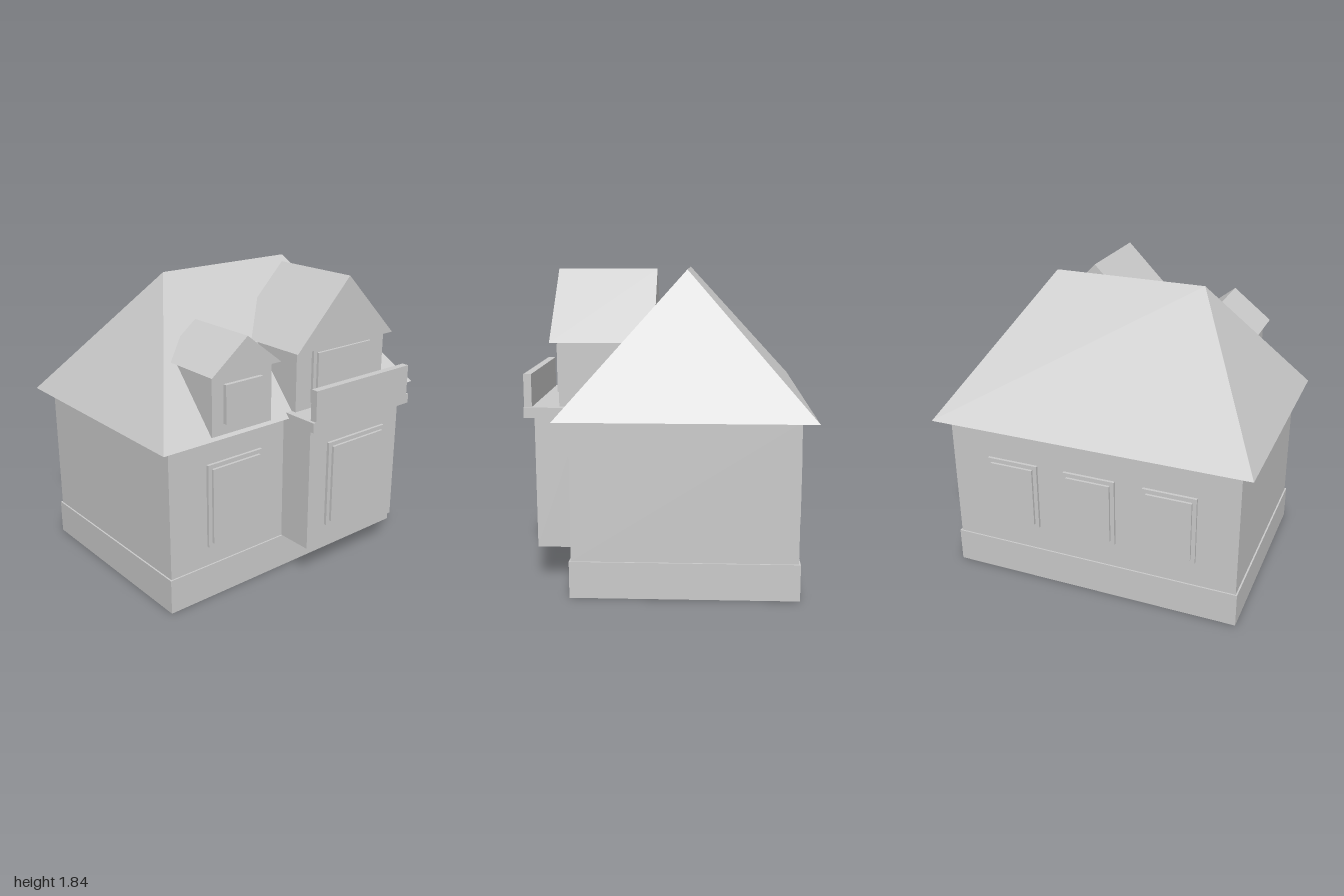
import * as THREE from 'three';

export function createModel() {
  const house = new THREE.Group();
  house.name = 'house';
  const plaster = new THREE.MeshStandardMaterial({ color: 0xcccccc });
  plaster.name = 'pale grey';

  const add = (name, geometry) => {
    const mesh = new THREE.Mesh(geometry, plaster);
    mesh.name = name;
    house.add(mesh);
    return mesh;
  };

  // Box given by its limits on each axis
  const box = (name, x0, x1, y0, y1, z0, z1) =>
    add(name, new THREE.BoxGeometry(x1 - x0, y1 - y0, z1 - z0))
      .position.set((x0 + x1) / 2, (y0 + y1) / 2, (z0 + z1) / 2);

  // Gable roof: triangular prism running along z
  const gable = (name, x0, x1, y0, y1, z0, z1) => {
    const shape = new THREE.Shape();
    shape.moveTo(x0, y0);
    shape.lineTo(x1, y0);
    shape.lineTo((x0 + x1) / 2, y1);
    shape.closePath();
    const geometry = new THREE.ExtrudeGeometry(shape, { depth: z1 - z0, bevelEnabled: false });
    add(name, geometry.translate(0, 0, z0));
  };

  // Window: a frame slab with a slightly smaller raised pane; dir is the way it faces
  const win = (name, x0, x1, y0, y1, wall, dir = 1) => {
    const m = 0.025;
    const slab = (part, inset, depth) => {
      const z = wall + dir * depth;
      box(name + part, x0 + inset, x1 - inset, y0 + inset, y1 - inset, Math.min(wall, z), Math.max(wall, z));
    };
    slab('Frame', 0, 0.018);
    slab('Pane', m, 0.034);
  };

  // Plinth, walls and front bay
  box('plinth', -0.93, 0.93, 0, 0.215, -0.755, 0.55);
  box('walls', -0.92, 0.92, 0.215, 1.03, -0.745, 0.54);
  box('bay', -0.075, 0.685, 0.215, 1.0, 0.5, 0.77);

  // Hipped main roof: eave rectangle with its top edges pulled in to a ridge
  const hip = new THREE.BoxGeometry(2, 0.805, 1.45).toNonIndexed();
  const p = hip.attributes.position;
  for (let i = 0; i < p.count; i++) {
    if (p.getY(i) > 0) p.setXYZ(i, Math.sign(p.getX(i)) * 0.475, p.getY(i), 0);
  }
  hip.computeVertexNormals();
  add('mainRoof', hip).position.set(0, 1.4325, -0.105);

  // Balcony over the bay
  box('balconyFloor', -0.105, 0.72, 1.0, 1.06, 0.54, 0.825);
  box('balconyParapet', -0.085, 0.7, 1.06, 1.25, 0.78, 0.825);

  // Large dormer opening on the balcony
  box('largeDormer', -0.06, 0.68, 1.04, 1.43, 0.15, 0.625);
  gable('largeDormerRoof', -0.095, 0.71, 1.43, 1.835, 0.078, 0.67);
  win('balconyDoor', 0.06, 0.555, 1.095, 1.43, 0.625);

  // Small dormer
  box('smallDormer', -0.67, -0.24, 1.05, 1.41, 0.2, 0.61);
  gable('smallDormerRoof', -0.703, -0.208, 1.41, 1.603, 0.18, 0.655);
  box('smallDormerWindow', -0.59, -0.325, 1.115, 1.345, 0.6, 0.635);

  // Ground floor windows, front and back
  win('frontWindow', -0.66, -0.26, 0.34, 0.86, 0.54);
  win('bayWindow', 0.067, 0.547, 0.337, 0.882, 0.77);
  for (const x of [-0.505, 0, 0.505]) win('backWindow', x - 0.165, x + 0.165, 0.38, 0.81, -0.745, -1);

  return house;
}
